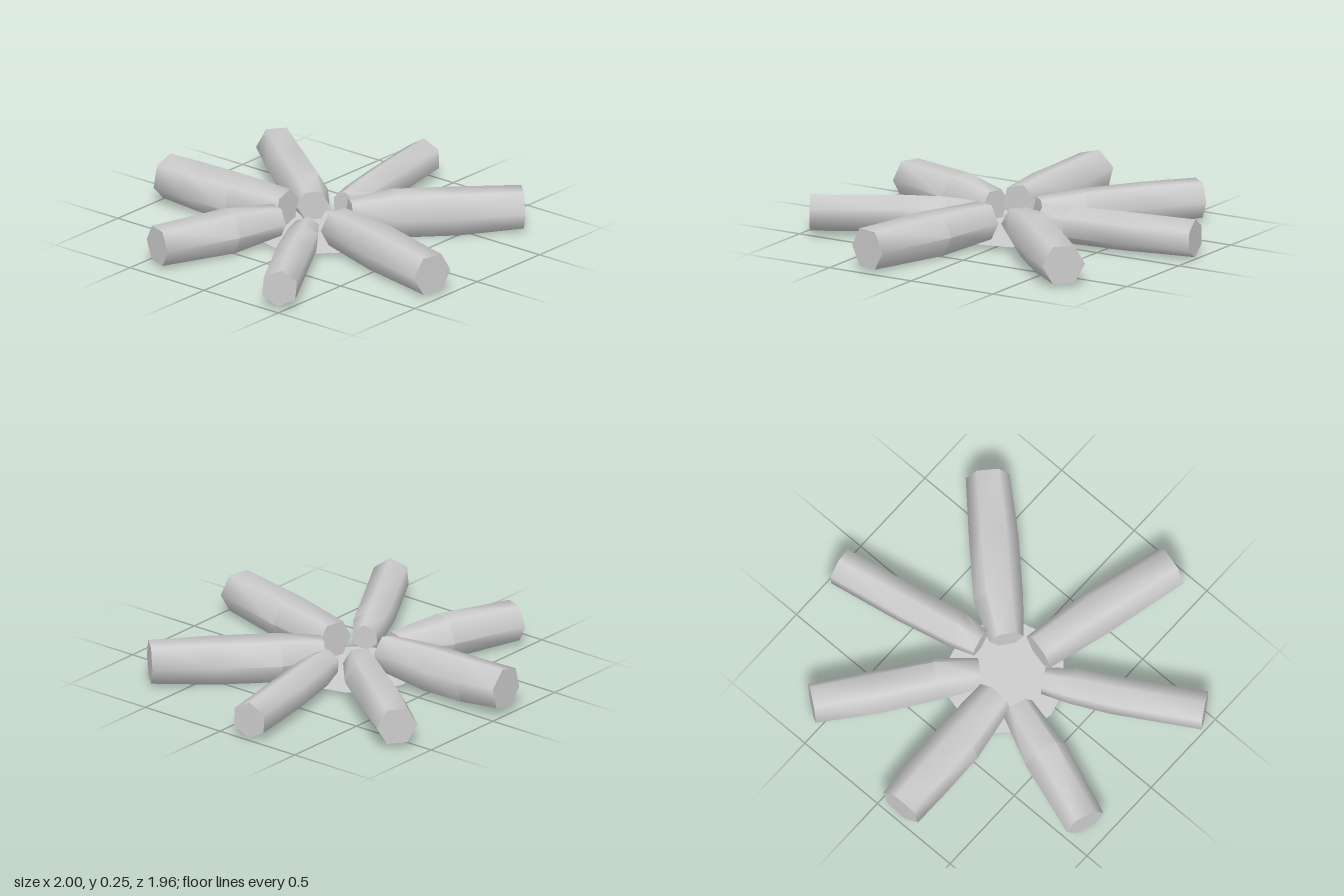
import * as THREE from 'three';
import { toCreasedNormals } from 'three/addons/utils/BufferGeometryUtils.js';

const SIDES = 6;

// Six-sided log swept along rings of [x, y, z, radius], from inner end to outer end.
// phase turns the section about its axis, in degrees.
function logGeometry(rings, phase) {
  const pts = rings.map(([x, y, z]) => new THREE.Vector3(x, y, z));
  const pos = [], index = [];
  rings.forEach(([x, y, z, r], k) => {
    const d = pts[Math.min(k + 1, pts.length - 1)].clone().sub(pts[Math.max(k - 1, 0)]).setY(0).normalize();
    for (let i = 0; i < SIDES; i++) {
      const a = THREE.MathUtils.degToRad(phase) + (i / SIDES) * Math.PI * 2;
      const side = Math.cos(a) * r;
      pos.push(x - d.z * side, y + Math.sin(a) * r, z + d.x * side);
    }
  });
  const last = (rings.length - 1) * SIDES;
  for (let i = 0; i < SIDES; i++) {
    const j = (i + 1) % SIDES;
    for (let k = 0; k < last; k += SIDES) {
      const a = k + i, b = k + j, c = a + SIDES, e = b + SIDES;
      index.push(a, c, b, b, c, e);
    }
    // end caps, as fans
    if (i > 0 && i < SIDES - 1) index.push(0, i, j, last, last + j, last + i);
  }
  const geo = new THREE.BufferGeometry();
  geo.setAttribute('position', new THREE.Float32BufferAttribute(pos, 3));
  geo.setIndex(index);
  return toCreasedNormals(geo, 1.05);
}

export function createModel() {
  const model = new THREE.Group();
  model.name = 'logPile';
  const grey = new THREE.MeshStandardMaterial({ color: 0xcccccc, side: THREE.DoubleSide });
  grey.name = 'grey';

  // Logs fanned out around the middle
  const logs = [
    { name: 'backLog', phase: 15, rings: [[-0.1, 0.15, -0.195, 0.1], [-0.12, 0.135, -0.5, 0.128], [-0.125, 0.135, -0.75, 0.128], [-0.137, 0.145, -0.975, 0.118]] },
    { name: 'backRightLog', phase: 0, rings: [[0.05, 0.13, -0.147, 0.085], [0.2, 0.125, -0.32, 0.115], [0.4, 0.125, -0.6, 0.118], [0.588, 0.13, -0.845, 0.108]] },
    { name: 'rightLog', phase: 32, rings: [[0.155, 0.13, -0.02, 0.075], [0.3, 0.122, -0.045, 0.098], [0.58, 0.117, -0.105, 0.103], [0.985, 0.115, -0.183, 0.1]] },
    { name: 'frontRightLog', phase: 0, rings: [[0.07, 0.13, 0.085, 0.09], [0.25, 0.122, 0.225, 0.128], [0.49, 0.122, 0.46, 0.128], [0.735, 0.13, 0.69, 0.114]] },
    { name: 'frontLog', phase: 0, rings: [[-0.1, 0.13, 0.14, 0.105], [-0.18, 0.127, 0.49, 0.125], [-0.3, 0.128, 0.95, 0.115]] },
    { name: 'frontLeftLog', phase: 35, rings: [[-0.223, 0.13, 0.04, 0.07], [-0.35, 0.127, 0.115, 0.092], [-0.55, 0.125, 0.225, 0.1], [-0.955, 0.125, 0.47, 0.1]] },
    { name: 'backLeftLog', phase: 0, rings: [[-0.222, 0.13, -0.16, 0.085], [-0.5, 0.127, -0.255, 0.12], [-0.9, 0.128, -0.4, 0.108]] },
  ];
  for (const { name, phase, rings } of logs) {
    const mesh = new THREE.Mesh(logGeometry(rings, phase), grey);
    mesh.name = name;
    model.add(mesh);
  }

  // Flat bed of ash beneath the inner ends
  const bed = new THREE.Mesh(new THREE.CircleGeometry(0.315, 12), grey);
  bed.name = 'ashBed';
  bed.rotation.x = -Math.PI / 2;
  bed.position.set(-0.04, 0.035, -0.05);
  model.add(bed);

  return model;
}
